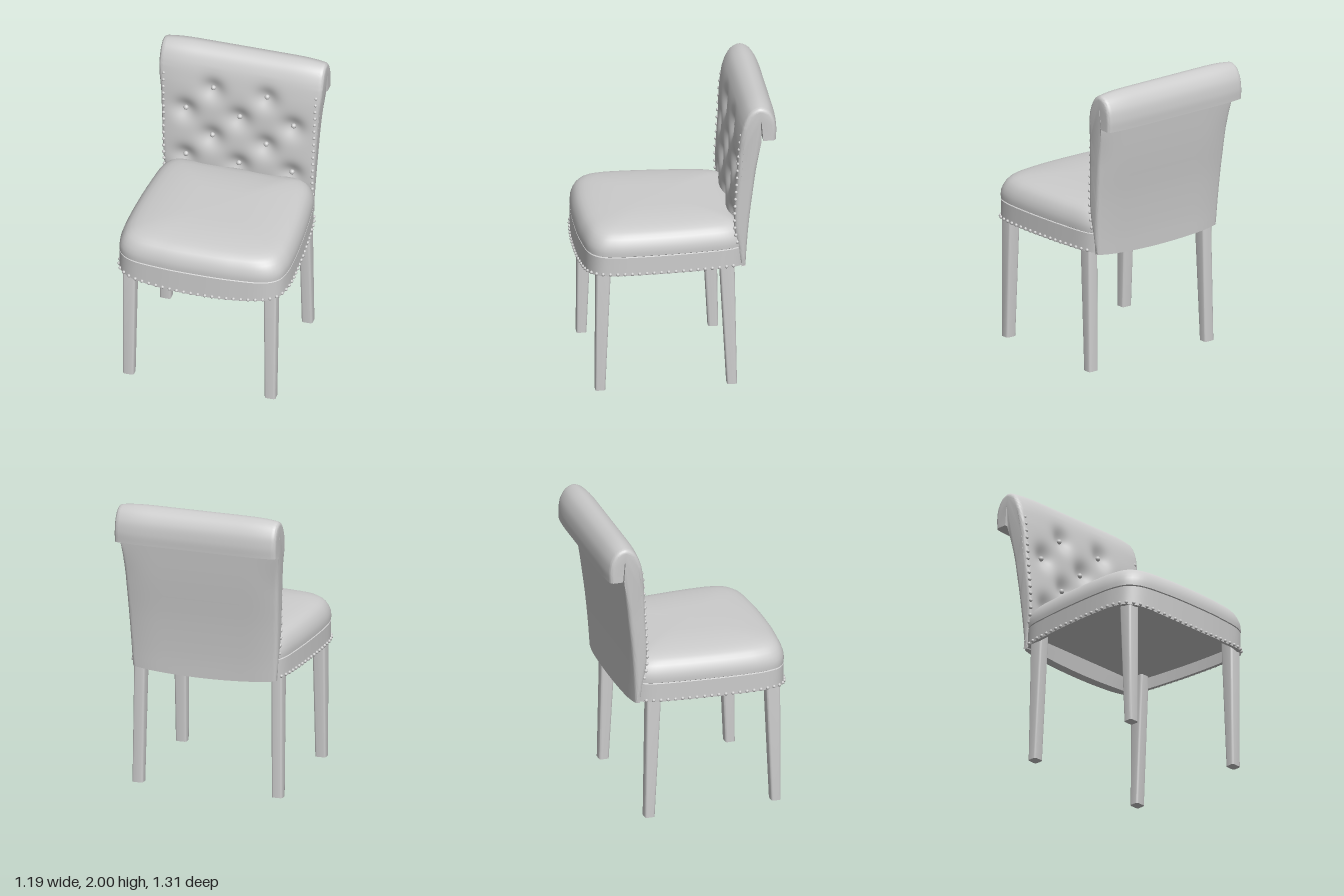
import * as THREE from 'three';
import { toCreasedNormals } from 'three/addons/utils/BufferGeometryUtils.js';

const paleGrey = new THREE.MeshStandardMaterial({ color: 0xcccccc });
paleGrey.name = 'paleGrey';

function addMesh(parent, name, geometry) {
  const mesh = new THREE.Mesh(geometry, paleGrey);
  mesh.name = name;
  parent.add(mesh);
  return mesh;
}

// Skins closed rings of [x, y, z] points; optional flat caps at both ends
function loft(rings, crease, caps = []) {
  const n = rings[0].length, index = [];
  for (let j = 0; j < rings.length - 1; j++) {
    for (let i = 0; i < n; i++) {
      const a = j * n + i, b = j * n + (i + 1) % n, c = a + n, d = b + n;
      index.push(a, c, b, c, d, b);
    }
  }
  const last = (rings.length - 1) * n;
  for (const [p, q, r] of caps) index.push(p, q, r, last + p, last + r, last + q);
  const g = new THREE.BufferGeometry();
  g.setAttribute('position', new THREE.Float32BufferAttribute(rings.flat(2), 3));
  g.setIndex(index);
  return toCreasedNormals(g, crease);
}

const spline = (pts, closed = false) =>
  new THREE.CatmullRomCurve3(pts.map(([a, b]) => new THREE.Vector3(a, b, 0)), closed, 'centripetal');

// Seat outline in plan (x, z), starting at the rear of the +x side
const half = [[0.47, -0.43], [0.508, -0.385], [0.532, -0.32], [0.555, -0.15], [0.572, 0.05], [0.582, 0.3],
  [0.576, 0.44], [0.547, 0.54], [0.468, 0.6], [0.25, 0.634]];
const outline = spline([...half, [0, 0.642], ...half.map(([x, z]) => [-x, z]).reverse(),
  [-0.25, -0.435], [0.25, -0.435]], true);

// The front apron dips towards its middle
const dip = (x, z) => 0.036 * THREE.MathUtils.smoothstep(z, 0.38, 0.55) * Math.max(0, 1 - (x / 0.575) ** 2);

function buildSeat(group) {
  const plan = outline.getSpacedPoints(140).slice(0, -1);
  const ring = (s, y, dipped) => plan.map(p => {
    const x = p.x * s, z = 0.1 + (p.y - 0.1) * s;
    return [x, y - (dipped ? dip(p.x, p.y) : 0), z];
  });
  // Recessed underside and upright apron
  addMesh(group, 'seatApron', loft([
    ring(0.001, 0.92), ring(0.96, 0.92), ring(0.96, 0.84, true), ring(1, 0.84, true),
    ring(1, 0.968), ring(0.985, 0.973),
  ], 0.6));
  // Domed cushion
  addMesh(group, 'seatCushion', loft([
    [0.985, 0.972], [1, 0.977], [1.002, 1.0], [0.997, 1.03], [0.98, 1.06], [0.955, 1.088],
    [0.925, 1.108], [0.885, 1.124], [0.83, 1.136], [0.75, 1.146], [0.6, 1.157], [0.45, 1.163],
    [0.3, 1.166], [0.001, 1.166],
  ].map(([s, y]) => ring(s, y)), 0.9));
}

// Side profile of the back (z, y): front and roll, then slit and rear
const frontRoll = spline([[-0.395, 0.81], [-0.372, 0.97], [-0.348, 1.13], [-0.363, 1.45], [-0.385, 1.76],
  [-0.418, 1.9], [-0.465, 1.972], [-0.53, 2.0], [-0.592, 1.975], [-0.635, 1.91], [-0.65, 1.83],
  [-0.648, 1.755]]).getSpacedPoints(130);
const rear = spline([[-0.538, 1.755], [-0.513, 1.5], [-0.478, 1.2], [-0.458, 0.95], [-0.452, 0.805]]).getSpacedPoints(24);
const profile = [...frontRoll, new THREE.Vector3(-0.548, 1.755, 0), new THREE.Vector3(-0.536, 1.89, 0),
  new THREE.Vector3(-0.531, 1.89, 0), ...rear];
const rollEnd = frontRoll.length - 1, rearStart = rollEnd + 4;

const buttons = [];
for (const [y, xs] of [[1.72, [-0.185, 0.185]], [1.53, [-0.37, 0, 0.37]],
  [1.35, [-0.185, 0.185]], [1.165, [-0.365, 0, 0.365]]]) {
  for (const x of xs) buttons.push([x, y]);
}

// Depth of the tufting at a point on the front
function tuft(x, y) {
  let depth = 0;
  for (const [bx, by] of buttons) {
    const d = Math.hypot(x - bx, y - by);
    depth += 0.045 * Math.exp(-((d / 0.078) ** 2));
  }
  return depth;
}

// Height of the plain front surface
function frontZ(y) {
  const i = frontRoll.findIndex(p => p.y >= y);
  const a = frontRoll[i - 1], b = frontRoll[i];
  return a.x + (b.x - a.x) * (y - a.y) / (b.y - a.y);
}

const lerp = THREE.MathUtils.lerp, step = THREE.MathUtils.smoothstep;
const halfWidth = y => lerp(0.503, 0.548, Math.min(1, (y - 0.8) / 0.95)) + 0.016 * step(y, 1.62, 1.88);

function buildBack(group) {
  const us = [];
  for (let k = 0; k <= 96; k++) us.push(-0.96 + 0.02 * k);
  for (const e of [0.972, 0.983, 0.992, 0.998, 1]) { us.push(e); us.unshift(-e); }
  const n = profile.length;
  const rings = us.map(u => {
    const a = Math.abs(u);
    const t = Math.min(1, Math.max(0, (a - 0.96) / 0.04));
    const inset = 0.018 * Math.max(0, (a - 0.5) / 0.5) ** 3 + 0.024 * (1 - Math.sqrt(1 - t * t));
    return profile.map((p, i) => {
      // Corners of the profile take the direction of their one smooth side
      const q = i === 0 || i === rearStart ? p : profile[i - 1];
      const r = i === rollEnd || i === n - 1 ? p : profile[i + 1];
      const dz = r.x - q.x, dy = r.y - q.y, len = Math.hypot(dz, dy);
      const k = i > rollEnd && i < rearStart ? 0 : inset * (i >= rearStart ? step(1.755 - p.y, 0, 0.3) : 1);
      const onRoll = i > 95 && i < rearStart - 1;
      const x = u * (onRoll ? 0.564 : halfWidth(p.y));
      let z = p.x - k * dy / len, y = p.y;
      if (p.y > 1.85) y += k * dz / len;
      if (i < 90 && p.y > 1) z -= tuft(x, p.y) * (1 - t);
      if (p.y < 0.9) y += 0.03 * u * u * (0.9 - p.y) / 0.1; // bowed lower edge
      return [x, y, z];
    });
  });
  const end = rings[0].map(([, y, z]) => new THREE.Vector2(z, y));
  addMesh(group, 'rolledBack', loft(rings, 0.8, THREE.ShapeUtils.triangulateShape(end, [])));
}

// Tapered leg with softened corners; each level is [y, x0, x1, z0, z1]
function buildLeg(group, name, side, levels) {
  const r = 0.014;
  const rings = levels.map(([y, x0, x1, z0, z1]) => {
    const pts = [];
    for (let c = 0; c < 4; c++) {
      const sx = c === 0 || c === 3 ? 1 : -1, sz = c < 2 ? 1 : -1;
      for (let k = 0; k <= 3; k++) {
        const a = (c + k / 3) * Math.PI / 2;
        pts.push([side * (x0 + x1) / 2 + sx * ((x1 - x0) / 2 - r) + r * Math.cos(a), y,
          (z0 + z1) / 2 + sz * ((z1 - z0) / 2 - r) + r * Math.sin(a)]);
      }
    }
    return pts;
  });
  const foot = rings[0].map(([x, , z]) => new THREE.Vector2(x, z));
  addMesh(group, name, loft(rings, 0.7, THREE.ShapeUtils.triangulateShape(foot, [])));
}

export function createModel() {
  const model = new THREE.Group();
  model.name = 'tuftedChair';
  buildSeat(model);
  buildBack(model);

  // Legs
  for (const [side, label] of [[1, 'Left'], [-1, 'Right']]) {
    buildLeg(model, 'front' + label + 'Leg', side,
      [[0, 0.45, 0.525, 0.499, 0.565], [0.84, 0.442, 0.529, 0.463, 0.56], [0.93, 0.442, 0.52, 0.46, 0.55]]);
    buildLeg(model, 'back' + label + 'Leg', side,
      [[0, 0.45, 0.525, -0.379, -0.312], [0.84, 0.442, 0.518, -0.364, -0.266], [0.93, 0.442, 0.51, -0.36, -0.261]]);
  }

  // Nail heads around the apron
  const nail = new THREE.SphereGeometry(0.0115, 12, 8);
  const apronNails = new THREE.Group();
  apronNails.name = 'apronNails';
  model.add(apronNails);
  for (const p of outline.getSpacedPoints(84)) {
    if (p.y < -0.38) continue;
    addMesh(apronNails, 'apronNail', nail).position.set(p.x * 1.004, 0.852 - dip(p.x, p.y), p.y + 0.002 * Math.sign(p.y));
  }

  // Nail heads down both edges of the back
  const backNails = new THREE.Group();
  backNails.name = 'backNails';
  model.add(backNails);
  for (let k = 0; k < 16; k++) {
    const y = 1.785 - 0.0515 * k;
    for (const side of [-1, 1]) {
      addMesh(backNails, 'backNail', nail).position.set(side * lerp(0.508, 0.524, (y - 1) / 0.785), y, frontZ(y) - 0.016);
    }
  }

  // Tufting buttons
  const buttonGeometry = new THREE.SphereGeometry(0.0175, 16, 10);
  const tufting = new THREE.Group();
  tufting.name = 'tuftingButtons';
  model.add(tufting);
  for (const [x, y] of buttons) {
    addMesh(tufting, 'tuftingButton', buttonGeometry).position.set(x, y, frontZ(y) - tuft(x, y) + 0.006);
  }
  return model;
}
